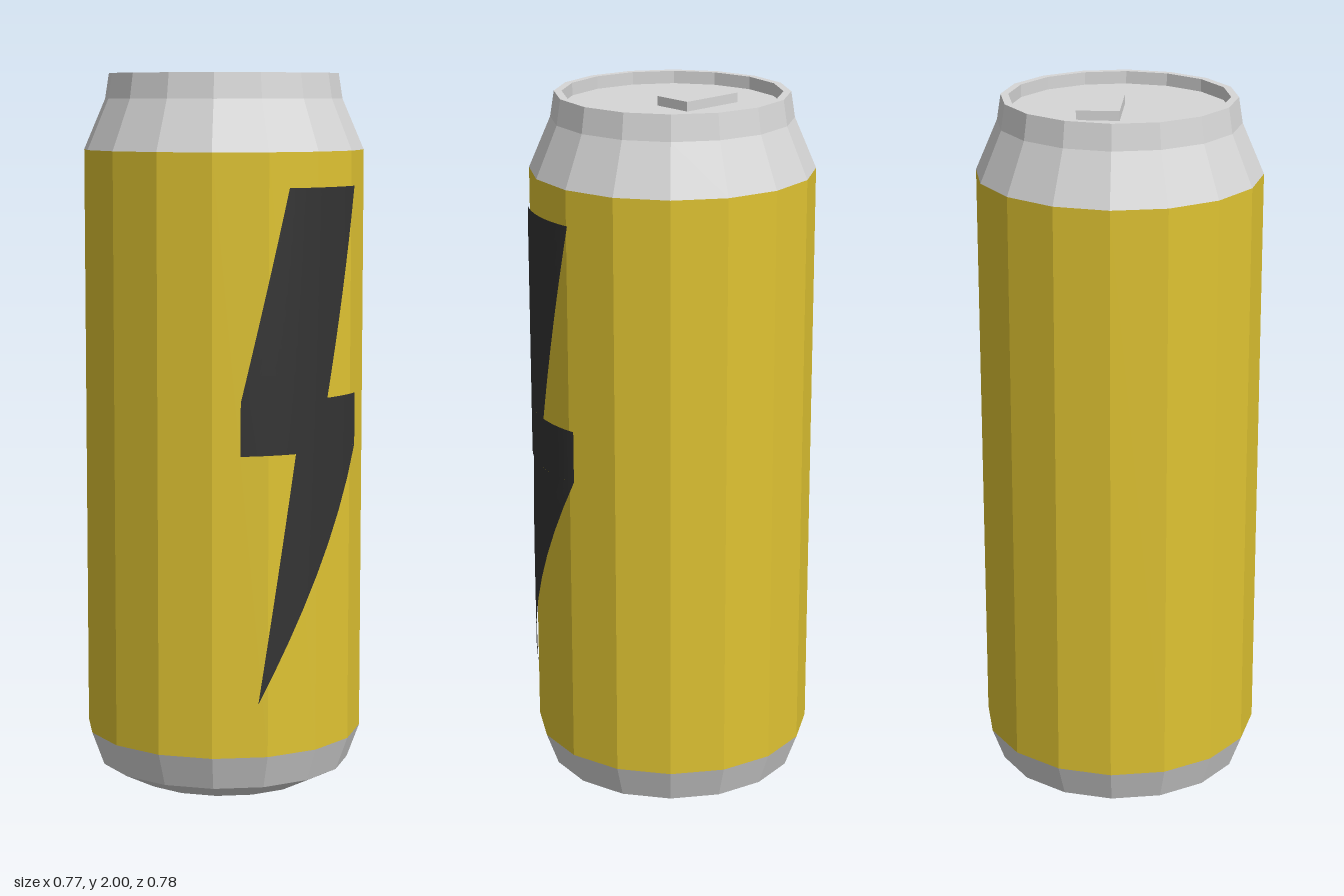
import * as THREE from 'three';

const SIDES = 16;
const PHI = THREE.MathUtils.degToRad(12.4); // slight twist of the facets
const BOLT_R = 0.397;

const silver = new THREE.MeshStandardMaterial({ name: 'silver', color: 0xd6d6d6, flatShading: true });
const yellow = new THREE.MeshStandardMaterial({ name: 'yellow', color: 0xdfc332, flatShading: true });
const black = new THREE.MeshStandardMaterial({ name: 'black', color: 0x333333, side: THREE.DoubleSide });

// Faceted ring section turned from [radius, height] points
function turned(name, points, material) {
  const profile = points.map(([r, y]) => new THREE.Vector2(r, y));
  const mesh = new THREE.Mesh(new THREE.LatheGeometry(profile, SIDES, PHI), material);
  mesh.name = name;
  return mesh;
}

// Four-sided patch wrapped round the can: top edge [x0, x1, y], bottom edge [x0, x1, y]
function wrappedPatch(name, top, bottom) {
  const geo = new THREE.PlaneGeometry(1, 1, 16, 8);
  const pos = geo.attributes.position;
  const angle = (x) => Math.asin(x / BOLT_R);
  const lerp = THREE.MathUtils.lerp;
  for (let i = 0; i < pos.count; i++) {
    const s = pos.getX(i) + 0.5;
    const t = 0.5 - pos.getY(i);
    const a = lerp(
      lerp(angle(top[0]), angle(bottom[0]), t),
      lerp(angle(top[1]), angle(bottom[1]), t), s);
    pos.setXYZ(i, BOLT_R * Math.sin(a), lerp(top[2], bottom[2], t), BOLT_R * Math.cos(a));
    geo.attributes.normal.setXYZ(i, Math.sin(a), 0, Math.cos(a));
  }
  const mesh = new THREE.Mesh(geo, black);
  mesh.name = name;
  return mesh;
}

export function createModel() {
  const can = new THREE.Group();
  can.name = 'drinkCan';

  // Base with a slightly domed underside
  can.add(turned('base', [[0, 0.02], [0.258, 0], [0.357, 0.05], [0.392, 0.145]], silver));
  // Painted body
  can.add(turned('body', [[0.392, 0.145], [0.392, 1.79]], yellow));
  // Shoulder, rim and sunken lid
  can.add(turned('shoulderAndLid', [
    [0.392, 1.79], [0.332, 1.93], [0.321, 2], [0.3, 2], [0.3, 1.965], [0, 1.965],
  ], silver));

  // Pull tab lying on the lid
  const tab = new THREE.Mesh(new THREE.BoxGeometry(0.116, 0.026, 0.19), silver);
  tab.name = 'pullTab';
  tab.position.set(0.011, 1.978, -0.067);
  tab.rotation.y = 0.6;
  can.add(tab);

  // Lightning bolt decal in three patches
  const bolt = new THREE.Group();
  bolt.name = 'lightningBolt';
  bolt.add(
    wrappedPatch('boltTop', [-0.012, 0.235, 1.695], [-0.145, 0.118, 1.125]),
    wrappedPatch('boltMiddle', [-0.145, 0.245, 1.125], [-0.145, 0.245, 0.98]),
    wrappedPatch('boltTip', [0.01, 0.245, 0.98], [-0.098, -0.098, 0.295]),
  );
  can.add(bolt);

  can.position.z = -0.006;
  const model = new THREE.Group();
  model.name = 'model';
  model.add(can);
  return model;
}
